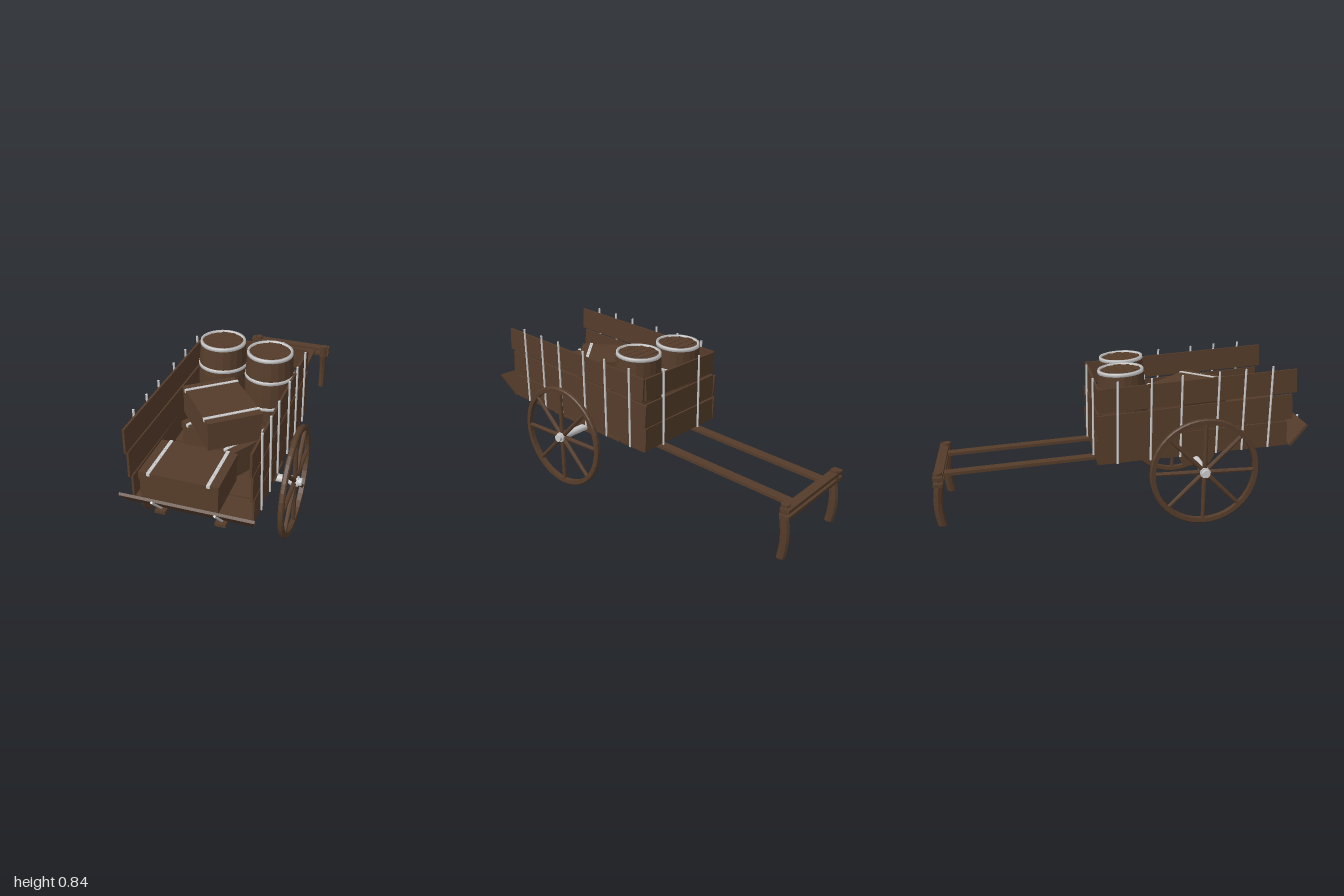
import * as THREE from 'three';

const wood = new THREE.MeshStandardMaterial({ color: 0x553c2a, flatShading: true });
const steel = new THREE.MeshStandardMaterial({ color: 0xcccccc });
const SLOPE = 0.06; // the cart bed rises towards the front

function part(parent, name, geometry, material, x = 0, y = 0, z = 0) {
  const mesh = new THREE.Mesh(geometry, material);
  mesh.name = name;
  mesh.position.set(x, y, z);
  parent.add(mesh);
  return mesh;
}

const box = (w, h, d) => new THREE.BoxGeometry(w, h, d);
const rod = (r, h, n = 10) => new THREE.CylinderGeometry(r, r, h, n);
const lathe = (points, n) => new THREE.LatheGeometry(points.map(p => new THREE.Vector2(...p)), n);

// Places something on the sloping bed; y is the height it would have at z = 0
function onBed(object, x, y, z, tilt = SLOPE) {
  object.position.set(x, y + SLOPE * z, z);
  object.rotation.x = -tilt;
  return object;
}

function wheel(x, side) {
  const g = new THREE.Group();
  g.name = side < 0 ? 'rightWheel' : 'leftWheel';
  g.position.set(x, 0.297, 0.42);
  const rim = part(g, 'rim', lathe([[0.266, -0.013], [0.289, -0.014], [0.295, -0.008],
    [0.295, 0.008], [0.289, 0.014], [0.266, 0.013], [0.266, -0.013]], 40), wood);
  rim.rotation.z = Math.PI / 2;
  for (let i = 0; i < 8; i++) {
    const a = i * Math.PI / 4;
    const spoke = part(g, 'spoke', new THREE.CylinderGeometry(0.011, 0.013, 0.25, 8), wood,
      0, Math.cos(a) * 0.145, Math.sin(a) * 0.145);
    spoke.rotation.x = a;
  }
  const hub = part(g, 'hub', rod(0.028, 0.04, 16), steel);
  const cap = part(g, 'hubCap', rod(0.021, 0.022, 16), steel, side * 0.027);
  hub.rotation.z = cap.rotation.z = Math.PI / 2;
  return g;
}

function barrel() {
  const g = new THREE.Group();
  g.name = 'barrel';
  const profile = [[0.117, 0], [0.127, 0.09], [0.132, 0.18], [0.133, 0.235],
    [0.132, 0.29], [0.127, 0.36], [0.119, 0.455]];
  part(g, 'staves', lathe([[0, 0], ...profile, [0.111, 0.455], [0.111, 0.447], [0, 0.447]], 20), wood);
  // Lid boards
  for (let i = -2; i <= 2; i++) {
    const length = 2 * Math.sqrt(0.11 ** 2 - (Math.abs(i) * 0.042 + 0.02) ** 2);
    part(g, 'lidBoard', box(length || 0.08, 0.004, 0.039), wood, 0, 0.449, i * 0.042);
  }
  // Hoops
  for (const [y, r0, r1] of [[0.008, 0.119, 0.122], [0.17, 0.1335, 0.1345], [0.325, 0.133, 0.1315], [0.448, 0.1225, 0.121]]) {
    part(g, 'hoop', lathe([[r0 - 0.012, y - 0.009], [r0, y - 0.009], [r1, y + 0.009],
      [r1 - 0.012, y + 0.009], [r0 - 0.012, y - 0.009]], 32), steel);
  }
  return g;
}

function crate(angle) {
  const g = new THREE.Group();
  g.name = 'crate';
  const inner = new THREE.Group();
  inner.rotation.y = angle;
  g.add(inner);
  part(inner, 'crateBody', box(0.385, 0.112, 0.278), wood, 0, 0.056, 0);
  part(inner, 'crateLid', box(0.395, 0.04, 0.283), wood, 0, 0.134, 0);
  for (const x of [-0.147, 0.147]) {
    part(inner, 'strap', box(0.017, 0.006, 0.288), steel, x, 0.155, 0);
    for (const z of [-0.143, 0.143]) part(inner, 'strapEnd', box(0.017, 0.016, 0.005), steel, x, 0.15, z);
    for (let i = -2; i <= 2; i++) part(inner, 'stud', rod(0.004, 0.006, 6), steel, x, 0.159, i * 0.06);
  }
  return g;
}

function leg(x, z) {
  const geo = new THREE.CylinderGeometry(0.024, 0.019, 0.24, 8, 5);
  const p = geo.attributes.position;
  for (let i = 0; i < p.count; i++) { // crooked, and deeper than wide
    const t = (p.getY(i) + 0.12) / 0.24;
    p.setZ(i, p.getZ(i) * (1.3 - 0.25 * t) + 0.006 - 0.014 * Math.sin(Math.PI * t));
  }
  geo.computeVertexNormals();
  const g = new THREE.Group();
  g.name = 'restLeg';
  part(g, 'legShaft', geo, wood, x, 0.138, z);
  part(g, 'legPeg', rod(0.024, 0.065, 8), wood, x, 0.287, z);
  return g;
}

export function createModel() {
  const cart = new THREE.Group();
  cart.name = 'handcart';

  // Long rails that become the pulling shafts
  for (const x of [-0.155, 0.141])
    onBed(part(cart, 'shaftRail', box(0.052, 0.017, 1.9), wood), x, 0.34, -0.01);

  // Floor boards
  for (let i = 0; i < 6; i++) {
    const board = part(cart, 'floorBoard', box(0.595, 0.013, 0.168), wood);
    onBed(board, -0.01 + 0.008 * Math.sin(i * 2.4), 0.355, -0.045 + i * 0.173);
    board.rotation.y = 0.012 * Math.sin(i * 1.9 + 1);
  }

  // Side walls: [height, board width, front end, back end, extra tilt]
  const boards = [[0.418, 0.134, 0.885, -0.145, -0.006], [0.556, 0.137, 0.905, -0.145, 0.013], [0.7, 0.126, 0.918, -0.13, 0.006]];
  for (const [x, out] of [[-0.309, -1], [0.282, 1]]) {
    for (const [y, h, z0, z1, tilt] of boards)
      onBed(part(cart, 'sideBoard', box(0.011, h, z0 - z1), wood), x, y, (z0 + z1) / 2, SLOPE + tilt);
    for (const z of [0.78, 0.635, 0.495, 0.3, 0.14, -0.035])
      onBed(part(cart, 'sidePost', rod(0.006, 0.445), steel), x + out * 0.0095, 0.572, z, 0);
  }

  // Back wall
  boards.forEach(([y, h], i) => {
    const board = part(cart, 'backBoard', box(0.575, h - 0.006, 0.011), wood);
    onBed(board, -0.012, y, -0.134, 0).rotation.z = [0.008, -0.008, 0.004][i];
  });
  for (const x of [-0.157, 0.143]) onBed(part(cart, 'backPost', rod(0.006, 0.43), steel), x, 0.565, -0.144, 0);

  // Tailgate, leaning outwards with a skewed right-hand end
  const outline = new THREE.Shape([[-0.332, 0], [0.292, 0], [0.324, 0.155], [-0.326, 0.145]]
    .map(p => new THREE.Vector2(...p)));
  const gate = new THREE.Group();
  gate.name = 'tailgate';
  gate.position.set(0, 0.407, 0.893);
  gate.rotation.x = 0.7;
  part(gate, 'tailgateBoard', new THREE.ExtrudeGeometry(outline, { depth: 0.014, bevelEnabled: false }), wood);
  for (const x of [-0.157, 0.143]) part(gate, 'tailgatePost', rod(0.006, 0.16), steel, x, 0.078, 0.018);
  cart.add(gate);

  // Axle and its hanging brackets
  part(cart, 'axle', rod(0.021, 0.78, 20), steel, -0.003, 0.297, 0.42).rotation.z = Math.PI / 2;
  const bracket = new THREE.Shape([[-0.11, 0.085], [-0.1, 0.02], [-0.07, -0.032], [0.07, -0.032], [0.1, 0.02], [0.11, 0.085]]
    .map(p => new THREE.Vector2(...p)));
  const bracketGeo = new THREE.ExtrudeGeometry(bracket, { depth: 0.018, bevelEnabled: false });
  for (const x of [-0.201, 0.17])
    part(cart, 'axleBracket', bracketGeo, wood, x, 0.297, 0.42).rotation.y = Math.PI / 2;
  cart.add(wheel(-0.376, -1), wheel(0.366, 1));

  // Handle: two crossbars clamping the shafts, with legs to rest on
  part(cart, 'lowerCrossbar', box(0.535, 0.017, 0.05), wood, -0.012, 0.263, -0.968);
  part(cart, 'upperCrossbar', box(0.535, 0.017, 0.05), wood, -0.012, 0.299, -0.968);
  cart.add(leg(-0.233, -0.97), leg(0.222, -0.955));

  // Cargo
  cart.add(onBed(barrel(), -0.153, 0.362, 0.03), onBed(barrel(), 0.122, 0.362, 0.075));
  cart.add(onBed(crate(0), -0.077, 0.362, 0.752));
  cart.add(onBed(crate(-0.53), -0.005, 0.362, 0.4));
  cart.add(onBed(crate(-0.89), -0.035, 0.522, 0.393));
  return cart;
}
